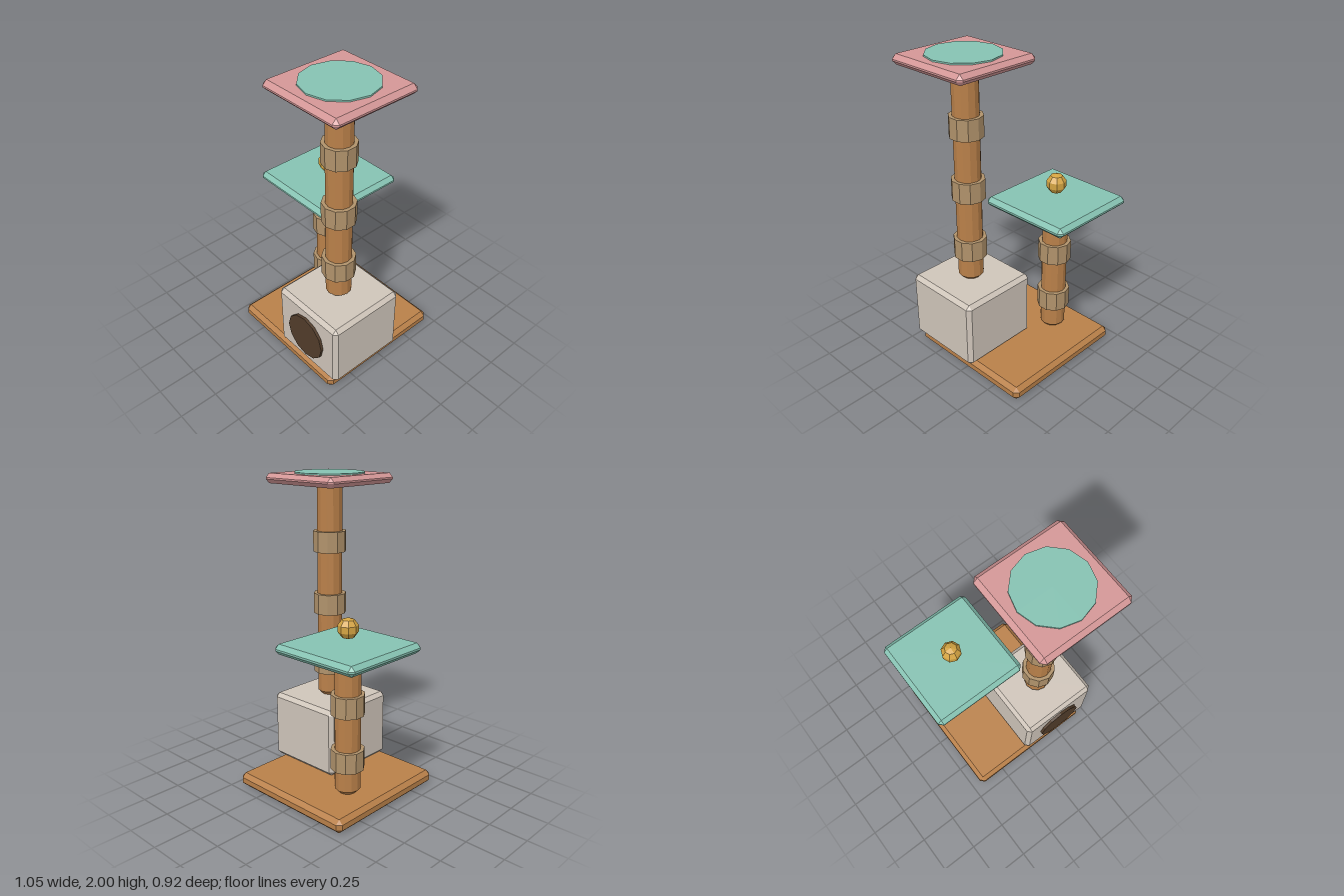
import * as THREE from 'three';
import { ConvexGeometry } from 'three/addons/geometries/ConvexGeometry.js';

const flat = (name, color) => {
  const m = new THREE.MeshStandardMaterial({ color, flatShading: true });
  m.name = name;
  return m;
};

// Box with every edge cut at 45 degrees
function chamferBox(w, h, d, b) {
  const points = [];
  const [x, y, z] = [w / 2, h / 2, d / 2];
  for (const sx of [-1, 1]) for (const sy of [-1, 1]) for (const sz of [-1, 1]) {
    points.push(
      new THREE.Vector3(sx * x, sy * (y - b), sz * (z - b)),
      new THREE.Vector3(sx * (x - b), sy * y, sz * (z - b)),
      new THREE.Vector3(sx * (x - b), sy * (y - b), sz * z));
  }
  return new ConvexGeometry(points);
}

// Twelve-sided post with cut rims, standing on y = 0
function postGeometry(r, h, b) {
  const profile = [[0, 0], [r - b, 0], [r, b], [r, h - b], [r - b, h], [0, h]];
  return new THREE.LatheGeometry(profile.map(([x, y]) => new THREE.Vector2(x, y)), 12);
}

export function createModel() {
  const wood = flat('wood', 0xb98049);
  const teal = flat('teal', 0x86c2b2);
  const pink = flat('pink', 0xd49797);
  const cream = flat('cream', 0xcfc5ba);
  const dark = flat('dark brown', 0x523d2b);
  const rope = flat('rope', 0xb0926b);
  const gold = flat('gold', 0xd3a341);

  const model = new THREE.Group();
  model.name = 'catTree';
  const add = (name, geometry, material, x, y, z, parent = model) => {
    const mesh = new THREE.Mesh(geometry, material);
    mesh.name = name;
    mesh.position.set(x, y, z);
    parent.add(mesh);
    return mesh;
  };

  const tall = { x: 0.233, z: 0.166 };
  const short = { x: -0.215, z: -0.147 };

  // Base board
  add('base', chamferBox(0.895, 0.09, 0.895, 0.027), wood, 0.009, 0.045, -0.012);

  // Cubby house with round doorway
  add('house', chamferBox(0.535, 0.45, 0.535, 0.025), cream, tall.x, 0.315, tall.z);
  const door = add('doorway', new THREE.CylinderGeometry(0.156, 0.156, 0.03, 12), dark, tall.x, 0.316, 0.436);
  door.rotation.x = Math.PI / 2;

  // Posts with rope wraps
  const addPost = (name, at, y0, y1, wraps) => {
    const group = new THREE.Group();
    group.name = name;
    model.add(group);
    add('post', postGeometry(0.082, y1 - y0, 0.027), wood, at.x, y0, at.z, group);
    for (const y of wraps) {
      add('ropeWrap', new THREE.CylinderGeometry(0.106, 0.106, 0.132, 10), rope, at.x, y, at.z, group);
    }
  };
  addPost('shortPost', short, 0.09, 0.995, [0.316, 0.675]);
  addPost('tallPost', tall, 0.54, 1.935, [0.765, 1.168, 1.57]);

  // Lower platform with toy ball
  add('lowerPlatform', chamferBox(0.626, 0.064, 0.626, 0.026), teal, short.x, 1.022, short.z);
  add('toyBall', new THREE.SphereGeometry(0.0655, 8, 5), gold, short.x, 1.146, short.z);

  // Upper platform with round cushion
  add('upperPlatform', chamferBox(0.58, 0.062, 0.58, 0.026), pink, tall.x, 1.96, tall.z);
  add('cushion', new THREE.CylinderGeometry(0.223, 0.223, 0.02, 12), teal, tall.x, 1.99, tall.z);

  return model;
}
